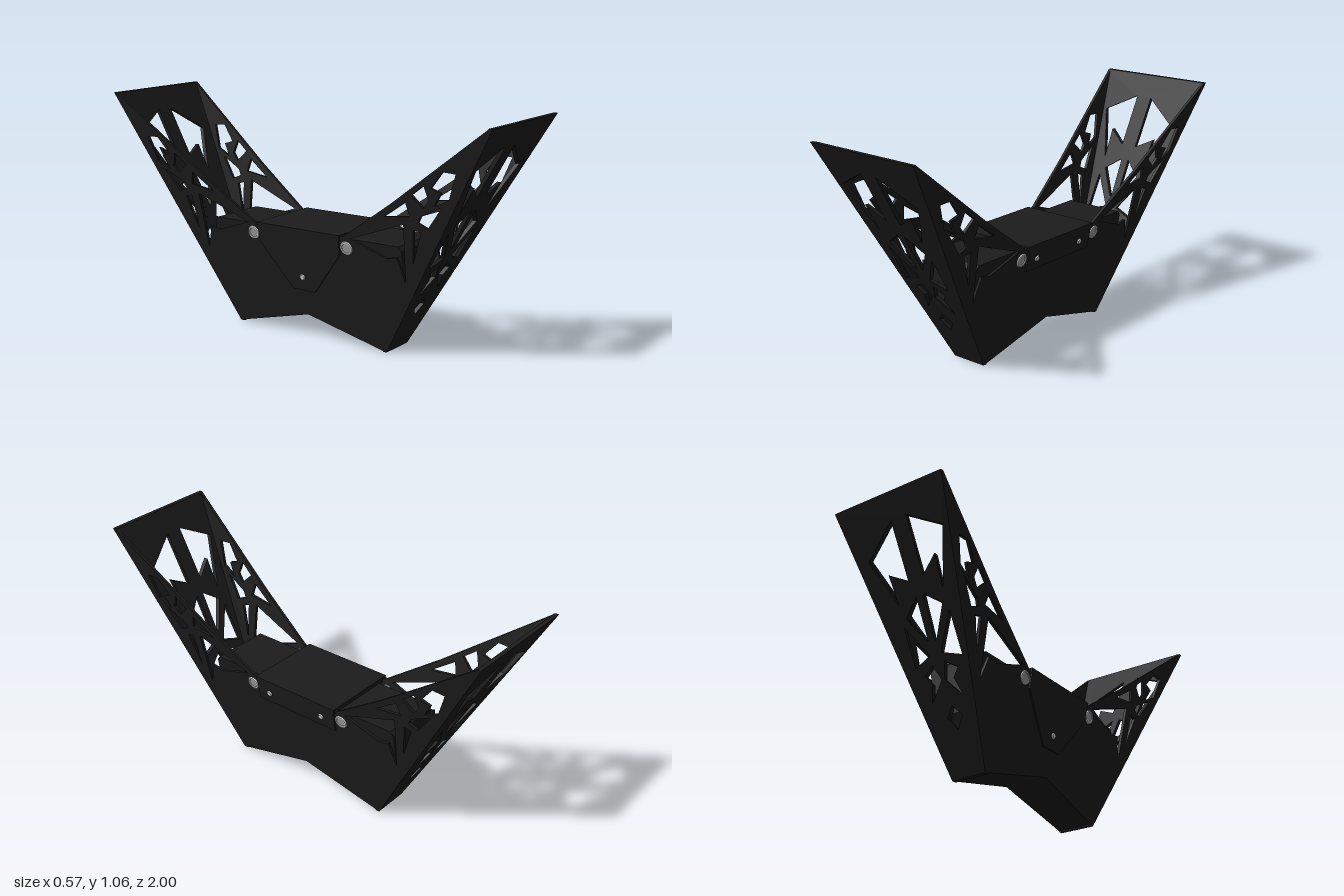
import * as THREE from 'three';

const makeMaterial = (name, color) => {
  const material = new THREE.MeshStandardMaterial({ color, side: THREE.DoubleSide, flatShading: true });
  material.name = name;
  return material;
};
const black = makeMaterial('black plastic', 0x1c1c1c);
const steel = makeMaterial('steel', 0xd0d0d0);
const grey = makeMaterial('brushed steel', 0x9a9a9a);

// Half width of the tapered body at height y, and depth of the sloped end plates
const halfWidth = y => 0.085 + 0.189 * y;
const endDepth = y => 0.41 + 0.557 * y;

const toPath = (pts, Type) => new Type(pts.map(p => new THREE.Vector2(p[0], p[1])));

// Extrude an outline with holes, then move every vertex by a rule
function plate(outline, holes, depth, rule, flip) {
  const shape = toPath(outline, THREE.Shape);
  shape.holes = holes.map(h => toPath(h, THREE.Path));
  const geo = new THREE.ExtrudeGeometry(shape, { depth, bevelEnabled: false });
  const src = geo.attributes.position;
  const out = [];
  for (let i = 0; i < src.count; i += 3) {
    for (const k of flip ? [0, 2, 1] : [0, 1, 2]) {
      out.push(...rule(src.getX(i + k), src.getY(i + k), src.getZ(i + k)));
    }
  }
  const result = new THREE.BufferGeometry();
  result.setAttribute('position', new THREE.Float32BufferAttribute(out, 3));
  result.computeVertexNormals();
  return result;
}

const mirror = pts => pts.concat(pts.filter(p => p[0] !== 0).reverse().map(p => [-p[0], p[1]]));

// Cut-outs of the end plates (x, y)
const endHoles = [
  [[-0.22, 0.88], [-0.062, 0.96], [-0.06, 0.735], [-0.145, 0.795], [-0.136, 0.665]],
  [[0.018, 0.958], [0.185, 0.848], [0.098, 0.662], [0.105, 0.778], [0.018, 0.735]],
  [[-0.114, 0.62], [-0.036, 0.673], [-0.026, 0.5], [-0.038, 0.505]],
  [[0.002, 0.673], [0.08, 0.605], [0.014, 0.51], [0.006, 0.505]],
  [[-0.137, 0.59], [-0.072, 0.5], [-0.04, 0.455], [-0.137, 0.425]],
  [[0.104, 0.58], [0.106, 0.425], [0.02, 0.455], [0.05, 0.5]],
  [[-0.1, 0.388], [-0.045, 0.42], [-0.02, 0.36], [-0.088, 0.285], [-0.065, 0.355]],
  [[0.07, 0.388], [0.02, 0.42], [-0.005, 0.36], [0.074, 0.285], [0.045, 0.355]],
  [[-0.055, 0.22], [-0.018, 0.262], [0.02, 0.22], [-0.016, 0.172]],
];

// Cut-outs of the side wings (z, y)
const wingHoles = [
  [[0.825, 0.862], [0.765, 0.865], [0.705, 0.79], [0.75, 0.775], [0.715, 0.715], [0.785, 0.75]],
  [[0.672, 0.797], [0.61, 0.75], [0.66, 0.7], [0.69, 0.735]],
  [[0.75, 0.715], [0.645, 0.66], [0.63, 0.632], [0.675, 0.612]],
  [[0.577, 0.715], [0.465, 0.638], [0.592, 0.655]],
  [[0.558, 0.615], [0.28, 0.512], [0.46, 0.45], [0.51, 0.46], [0.543, 0.35]],
  [[0.64, 0.59], [0.605, 0.6], [0.588, 0.44]],
];

export function createModel() {
  const model = new THREE.Group();
  const add = (name, geo) => {
    const mesh = new THREE.Mesh(geo, black);
    mesh.name = name;
    model.add(mesh);
  };

  // Sloped, pierced plates at both ends
  const endOutline = mirror([[-halfWidth(0), 0], [-halfWidth(1.05), 1.05], [-0.278, 1.06]]);
  for (const s of [1, -1]) {
    add(s > 0 ? 'frontPlate' : 'backPlate', plate(endOutline, endHoles, 0.02,
      (x, y, w) => [x, y, s * (endDepth(y) - w)], s > 0));
  }

  // Side walls, each with two pierced wings
  const wallOutline = mirror([[0, 0.105], [0.41, 0], [1, 1.06], [0.985, 1.06], [0.504, 0.699], [0.24, 0.515]]);
  const wallHoles = wingHoles.concat(wingHoles.map(h => h.map(p => [-p[0], p[1]])));
  for (const s of [1, -1]) {
    add(s > 0 ? 'leftWall' : 'rightWall', plate(wallOutline, wallHoles, 0.014,
      (z, y, w) => [s * (halfWidth(y) - w), y, z], s < 0));
  }

  // Tapered blocks that span the width between the walls
  const span = (name, profile, inset) => add(name, plate(profile, [], 1,
    (z, y, w) => [(2 * w - 1) * (halfWidth(y) - inset), y, z], true));
  span('innerCase', mirror([[0, 0.12], [0.39, 0.03], [0.485, 0.2], [0.512, 0.25], [0.512, 0.48], [0.495, 0.5]]), 0.037);
  span('floor', [[0, 0.105], [0.41, 0], [0.42, 0.02], [0, 0.125], [-0.42, 0.02], [-0.41, 0]], 0.001);
  span('topCover', mirror([[0.225, 0.495], [0.225, 0.52]]), -0.007);

  // Cover flaps: short on the left, long and tapered on the right
  const flaps = [
    [1, 'leftFlap', [[0.22, 0.4], [0.22, 0.52]]],
    [-1, 'rightFlap', [[0.06, 0.225], [0.22, 0.43], [0.22, 0.52]]],
  ];
  for (const [s, name, half] of flaps) {
    add(name, plate(mirror(half), [], 0.007,
      (z, y, w) => [s * (halfWidth(y) + 0.007 - w), y, z], s < 0));
  }

  // Fasteners set square to the sloping walls
  const bolt = (s, z, y, big) => {
    const group = new THREE.Group();
    group.name = big ? 'largeBolt' : 'smallScrew';
    const part = (name, geo, mat, height) => {
      const mesh = new THREE.Mesh(geo, mat);
      mesh.name = name;
      mesh.position.y = height;
      group.add(mesh);
      return mesh;
    };
    if (big) {
      part('boltRim', new THREE.TorusGeometry(0.026, 0.006, 6, 20), steel, 0).rotation.x = Math.PI / 2;
      part('boltCore', new THREE.CylinderGeometry(0.022, 0.022, 0.022, 16), grey, -0.009);
      part('boltNut', new THREE.CylinderGeometry(0.026, 0.026, 0.008, 12), steel, -0.018);
    } else {
      part('screwHead', new THREE.CylinderGeometry(0.011, 0.015, 0.006, 14), steel, 0.009);
    }
    group.position.set(s * halfWidth(y), y, z);
    group.quaternion.setFromUnitVectors(new THREE.Vector3(0, 1, 0),
      new THREE.Vector3(s, -0.189, 0).normalize());
    model.add(group);
  };
  for (const s of [1, -1]) for (const z of [0.255, -0.255]) bolt(s, z, 0.465, true);
  for (const z of [0.155, -0.145]) bolt(1, z, 0.45, false);
  bolt(-1, 0, 0.29, false);

  return model;
}
